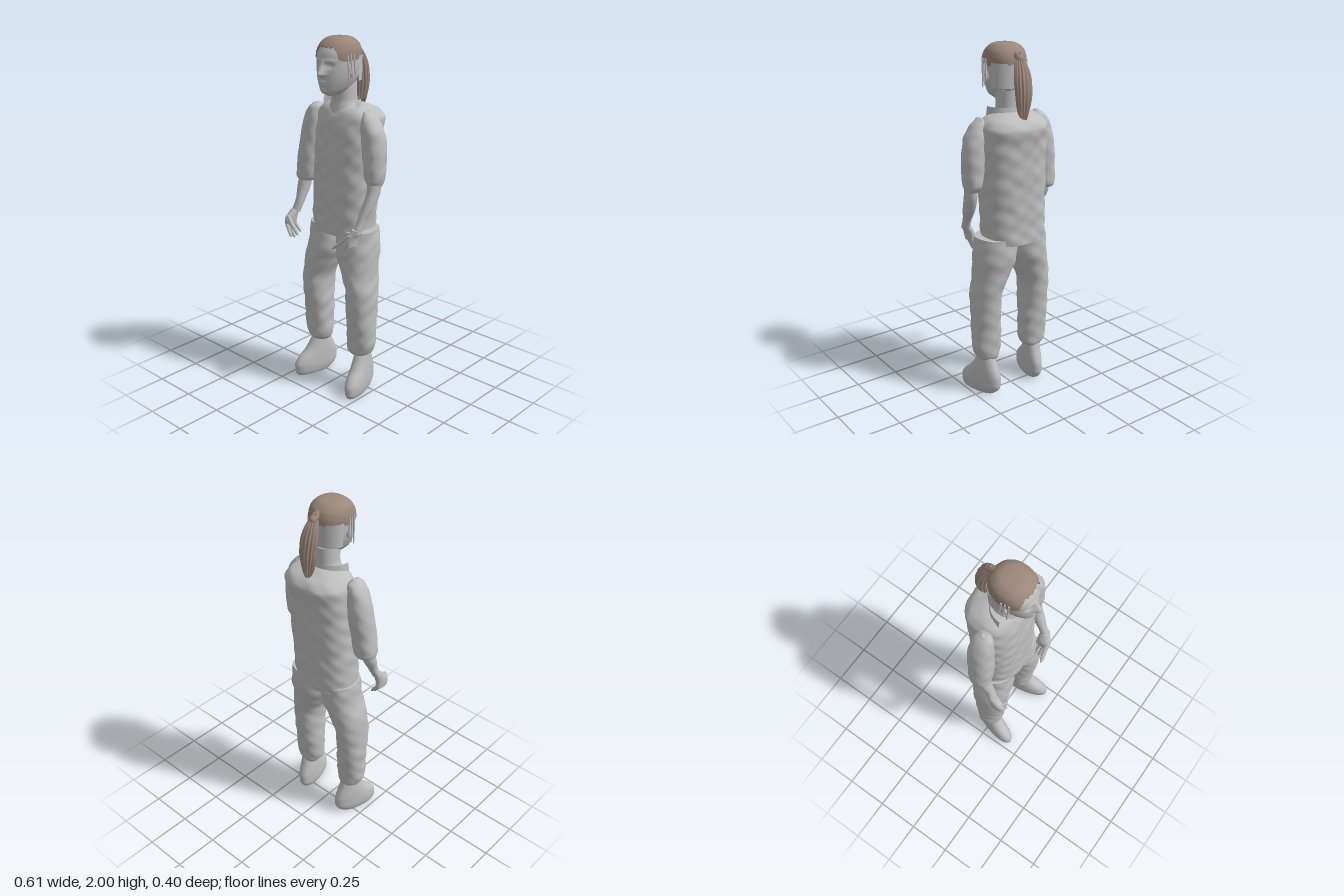
import * as THREE from 'three';

const grey = new THREE.MeshStandardMaterial({ color: 0xbebebe, side: THREE.DoubleSide });
grey.name = 'plain grey';
const brown = new THREE.MeshStandardMaterial({ color: 0x9c8779, side: THREE.DoubleSide });
brown.name = 'hair brown';

// Monotone cubic interpolation of rows [y, x0, x1, z0, z1] at height y
function section(rows, y) {
  let i = 0;
  while (i < rows.length - 2 && y > rows[i + 1][0]) i++;
  const h = rows[i + 1][0] - rows[i][0];
  const t = THREE.MathUtils.clamp((y - rows[i][0]) / h, 0, 1);
  const slope = (j, k) => (rows[j + 1][k] - rows[j][k]) / (rows[j + 1][0] - rows[j][0]);
  const tangent = (j, k) => {
    if (j === 0) return slope(0, k);
    if (j === rows.length - 1) return slope(j - 1, k);
    const a = slope(j - 1, k), b = slope(j, k);
    return a * b > 0 ? (2 * a * b) / (a + b) : 0;
  };
  return [1, 2, 3, 4].map((k) => {
    const t2 = t * t, t3 = t2 * t;
    return (2 * t3 - 3 * t2 + 1) * rows[i][k] + (t3 - 2 * t2 + t) * h * tangent(i, k)
      + (3 * t2 - 2 * t3) * rows[i + 1][k] + (t3 - t2) * h * tangent(i + 1, k);
  });
}

// Closed body lofted through horizontal cross-sections, listed from bottom to top
function loft(rows, { seg = 32, steps = 30, power = 2.2, edge = null, shape = null } = {}) {
  const pos = [], idx = [];
  const top = rows[rows.length - 1][0];
  const p = new THREE.Vector3();
  for (let j = 0; j <= steps; j++) {
    const t = (1 - Math.cos((Math.PI * j) / steps)) / 2;
    for (let i = 0; i < seg; i++) {
      const a = (i / seg) * Math.PI * 2, c = Math.cos(a), s = Math.sin(a);
      const y = THREE.MathUtils.lerp(edge ? edge(a) : rows[0][0], top, t);
      const [x0, x1, z0, z1] = section(rows, y);
      p.set((x0 + x1) / 2 + ((x1 - x0) / 2) * Math.sign(c) * Math.abs(c) ** (2 / power), y,
        (z0 + z1) / 2 + ((z1 - z0) / 2) * Math.sign(s) * Math.abs(s) ** (2 / power));
      if (shape) shape(p, c, s, a);
      pos.push(p.x, p.y, p.z);
      if (j < steps) {
        const q = j * seg + i, r = j * seg + ((i + 1) % seg);
        idx.push(q, q + seg, r, r, q + seg, r + seg);
      }
    }
  }
  // flat end caps with their own vertices
  for (const j of [0, steps]) {
    const ring = pos.slice(j * seg * 3, (j + 1) * seg * 3);
    const start = pos.length / 3, mid = [0, 0, 0];
    ring.forEach((v, n) => { mid[n % 3] += v / seg; });
    pos.push(...ring, ...mid);
    for (let i = 0; i < seg; i++) {
      const a = start + i, b = start + ((i + 1) % seg), m = start + seg;
      if (j === 0) idx.push(a, b, m); else idx.push(b, a, m);
    }
  }
  const g = new THREE.BufferGeometry();
  g.setAttribute('position', new THREE.Float32BufferAttribute(pos, 3));
  g.setIndex(idx);
  g.computeVertexNormals();
  return g;
}

// Soft cloth folds
const folds = (amp) => (p, c, s) => {
  const w = Math.sin(p.y * 43 + 3 * c + Math.sin(p.x * 37)) * Math.sin(p.x * 31 + p.z * 27 + p.y * 13)
    + 0.5 * Math.sin(p.y * 71 - p.x * 52 + p.z * 40);
  p.x += c * w * amp;
  p.z += s * w * amp;
};

const bump = (d, w) => Math.exp(-(d * d) / (w * w));
const ramp = THREE.MathUtils.smoothstep;

// Nose, eye sockets, brow, lips and chin
function face(p, c, s) {
  if (s <= 0) return;
  const x = p.x - 0.015, y = p.y;
  const nose = ramp(y, 1.797, 1.815) * THREE.MathUtils.clamp((1.895 - y) / 0.075, 0, 1);
  p.z += 0.036 * nose * bump(x, 0.008 + 0.012 * nose);
  p.z -= 0.014 * bump(Math.abs(x) - 0.038, 0.018) * bump(y - 1.862, 0.013);
  p.z += 0.006 * bump(Math.abs(x) - 0.036, 0.009) * bump(y - 1.86, 0.006);
  p.z += 0.005 * bump(y - 1.885, 0.01) * bump(Math.abs(x) - 0.035, 0.03);
  p.z += 0.007 * bump(x, 0.022) * (bump(y - 1.777, 0.006) + bump(y - 1.763, 0.006));
  p.z += 0.006 * bump(x, 0.02) * bump(y - 1.73, 0.012);
}

const headRows = [
  [1.7, -0.01, 0.04, 0.02, 0.12], [1.72, -0.035, 0.065, -0.02, 0.155], [1.75, -0.055, 0.085, -0.055, 0.162],
  [1.8, -0.075, 0.105, -0.075, 0.165], [1.86, -0.085, 0.115, -0.083, 0.162], [1.91, -0.087, 0.117, -0.08, 0.155],
  [1.95, -0.078, 0.108, -0.068, 0.135], [1.975, -0.058, 0.088, -0.045, 0.11], [1.988, -0.035, 0.065, -0.02, 0.085],
  [1.993, -0.005, 0.035, 0.015, 0.05]];
const hairRows = headRows.map(([y, a, b, c, d]) => [y + 0.007, a - 0.007, b + 0.007, c - 0.006, d + 0.004]);

// Tapered digit between two points, rounded at the lower end
function digit(from, to, r) {
  const at = (t, k) => {
    const [x, y, z] = from.map((v, i) => v + (to[i] - v) * t);
    return [y, x - r * k, x + r * k, z - r * k, z + r * k];
  };
  return loft([at(1, 0.3), at(0.9, 0.75), at(0.5, 0.9), at(0, 1)], { seg: 10, steps: 8, power: 2 });
}

export function createModel() {
  const model = new THREE.Group();
  const add = (name, geometry, material = grey, parent = model) => {
    const mesh = new THREE.Mesh(geometry, material);
    mesh.name = name;
    parent.add(mesh);
    return mesh;
  };

  // Head, neck and ears
  add('head', loft(headRows, { seg: 96, steps: 70, shape: face }));
  add('neck', loft([[1.58, -0.075, 0.105, -0.09, 0.085], [1.64, -0.06, 0.092, -0.08, 0.07],
    [1.67, -0.05, 0.082, -0.07, 0.065], [1.76, -0.045, 0.08, -0.07, 0.075]]));
  for (const s of [-1, 1]) {
    const ear = add('ear', new THREE.SphereGeometry(1, 16, 12));
    ear.scale.set(0.012, 0.032, 0.018);
    ear.position.set(0.015 + s * 0.1, 1.83, 0.055);
    ear.rotation.y = s * 0.3;
    // loose strands in front of the ears
    for (let i = 0; i < 3; i++) {
      const x = 0.015 + s * (0.104 + 0.003 * i), z = 0.085 - 0.02 * i;
      add('looseStrand', digit([x, 1.92, z], [x + s * 0.006, 1.765 + 0.02 * i, z - 0.01], 0.005));
    }
  }

  // Band of swept-back side hair round the back of the skull
  const band = add('sideHair', new THREE.CylinderGeometry(1, 0.97, 0.13, 40, 1, true, Math.PI * 0.5, Math.PI));
  band.scale.set(0.108, 1, 0.088);
  band.position.set(0.015, 1.84, 0.002);

  // Hair cap with an uneven hairline, knot and ponytail
  const hairline = (a) => 1.885 + 0.068 * ramp(Math.sin(a), 0.6, 0.92)
    + 0.012 * ramp(-Math.sin(a), 0, 0.8) + 0.004 * Math.sin(a * 23);
  add('hairCap', loft(hairRows, { seg: 80, steps: 24, edge: hairline }), brown);
  const knot = add('hairKnot', new THREE.CapsuleGeometry(0.02, 0.05, 6, 16), brown);
  knot.position.set(0.015, 1.94, -0.08);
  knot.rotation.x = 1.1;
  add('ponytail', loft([[1.61, 0.01, 0.025, -0.15, -0.138], [1.66, -0.008, 0.045, -0.163, -0.11],
    [1.75, -0.025, 0.06, -0.174, -0.103], [1.82, -0.028, 0.062, -0.167, -0.093],
    [1.88, -0.02, 0.052, -0.148, -0.085], [1.93, -0.003, 0.035, -0.118, -0.072],
    [1.96, 0.008, 0.022, -0.095, -0.075]], {
    seg: 72, steps: 30,
    shape: (p, c, s, a) => {
      const w = 0.0035 * Math.sin(a * 13 + p.y * 9);
      p.x += c * w;
      p.z += s * w;
    },
  }), brown);

  // Shirt body and upright collar, open at the front
  add('shirt', loft([[0.93, -0.182, 0.18, -0.155, 0.115], [1.1, -0.18, 0.19, -0.16, 0.118],
    [1.3, -0.175, 0.2, -0.17, 0.115], [1.5, -0.17, 0.21, -0.184, 0.102], [1.57, -0.165, 0.21, -0.196, 0.09],
    [1.61, -0.145, 0.185, -0.172, 0.076], [1.64, -0.1, 0.13, -0.11, 0.05], [1.655, -0.04, 0.07, -0.07, 0.02]],
  { seg: 80, steps: 80, power: 2.5, shape: folds(0.0028) }));
  const collar = add('collar', new THREE.CylinderGeometry(0.112, 0.122, 0.07, 40, 1, true, Math.PI * 0.5, Math.PI));
  collar.position.set(0.015, 1.64, 0.035);

  // Sleeves and forearms, each arm posed on its own
  const cloth = { seg: 40, steps: 50, shape: folds(0.002) };
  add('rightSleeve', loft([[1.18, -0.298, -0.192, -0.035, 0.07], [1.2, -0.304, -0.182, -0.045, 0.08],
    [1.3, -0.297, -0.165, -0.055, 0.08], [1.45, -0.277, -0.147, -0.065, 0.07], [1.55, -0.25, -0.14, -0.06, 0.06],
    [1.6, -0.218, -0.145, -0.045, 0.05], [1.625, -0.19, -0.165, -0.015, 0.025]], cloth));
  add('leftSleeve', loft([[1.235, 0.21, 0.283, -0.03, 0.05], [1.27, 0.196, 0.294, -0.05, 0.065],
    [1.4, 0.176, 0.302, -0.06, 0.07], [1.5, 0.165, 0.29, -0.06, 0.07], [1.58, 0.165, 0.25, -0.045, 0.06],
    [1.625, 0.178, 0.203, -0.02, 0.035]], cloth));
  add('rightForearm', loft([[1.0, -0.285, -0.232, 0.08, 0.125], [1.07, -0.275, -0.222, 0.045, 0.1],
    [1.14, -0.285, -0.215, 0.005, 0.08], [1.24, -0.285, -0.205, -0.02, 0.06]]));
  add('leftForearm', loft([[0.99, 0.198, 0.243, 0.095, 0.145], [1.05, 0.203, 0.25, 0.065, 0.118],
    [1.12, 0.207, 0.27, 0.015, 0.092], [1.2, 0.216, 0.28, -0.02, 0.065], [1.28, 0.215, 0.285, -0.03, 0.05]]));

  // Hands: palm, four fingers and a thumb
  const hand = (name, wrist, knuckle, tip, thumb) => {
    const g = new THREE.Group();
    g.name = name;
    model.add(g);
    const [wx, wy, wz] = wrist, [kx, ky, kz] = knuckle;
    add('palm', loft([[ky - 0.01, kx - 0.018, kx + 0.018, kz - 0.04, kz + 0.035],
      [ky + 0.03, kx - 0.02, kx + 0.026, kz - 0.043, kz + 0.042],
      [wy, wx - 0.023, wx + 0.023, wz - 0.027, wz + 0.027]]), grey, g);
    for (let i = 0; i < 4; i++) {
      const f = i - 1.5, drop = [0.008, 0, 0.004, 0.02][i];
      add('finger', digit([kx, ky + 0.01, kz - 0.02 * f], [tip[0], tip[1] + drop, tip[2] - 0.025 * f], 0.0115), grey, g);
    }
    add('thumb', digit([(wx + kx) / 2, (wy + ky) / 2 + 0.015, kz + 0.025], thumb, 0.014), grey, g);
  };
  hand('rightHand', [-0.26, 1.015, 0.103], [-0.27, 0.93, 0.135], [-0.228, 0.86, 0.135], [-0.208, 0.905, 0.16]);
  hand('leftHand', [0.22, 1.01, 0.12], [0.187, 0.92, 0.132], [0.145, 0.825, 0.12], [0.098, 0.885, 0.178]);

  // Trouser legs with gathered cuffs, and soft shoes turned outwards
  for (const s of [-1, 1]) {
    const side = s < 0 ? 'right' : 'left';
    const hip = s < 0 ? 0.2 : 0.226;
    const rows = [[0.215, 0.105, 0.205, -0.045, 0.06], [0.24, 0.087, 0.232, -0.055, 0.08],
      [0.3, 0.078, 0.247, -0.06, 0.085], [0.45, 0.083, 0.246, -0.075, 0.1], [0.6, 0.086, 0.245, -0.09, 0.115],
      [0.75, 0.03, 0.233, -0.11, 0.115], [0.83, -0.002, hip + 0.01, -0.125, 0.112],
      [0.93, -0.005, hip, -0.13, 0.105], [0.965, 0, hip - 0.003, -0.13, 0.1]];
    add(side + 'TrouserLeg', loft(rows.map(([y, a, b, c, d]) => (s > 0 ? [y, a, b, c, d] : [y, -b, -a, c, d])),
      { seg: 48, steps: 70, shape: folds(0.0025) }));
    const shoe = add(side + 'Shoe', loft([[0, -0.04, 0.04, -0.045, 0.175], [0.025, -0.049, 0.049, -0.078, 0.187],
      [0.06, -0.053, 0.053, -0.095, 0.187], [0.1, -0.052, 0.052, -0.095, 0.165], [0.14, -0.05, 0.05, -0.083, 0.12],
      [0.18, -0.046, 0.046, -0.066, 0.088], [0.235, -0.04, 0.04, -0.045, 0.055]], { seg: 40 }));
    shoe.position.x = s < 0 ? -0.158 : 0.168;
    shoe.rotation.y = s * 0.24;
  }
  return model;
}
